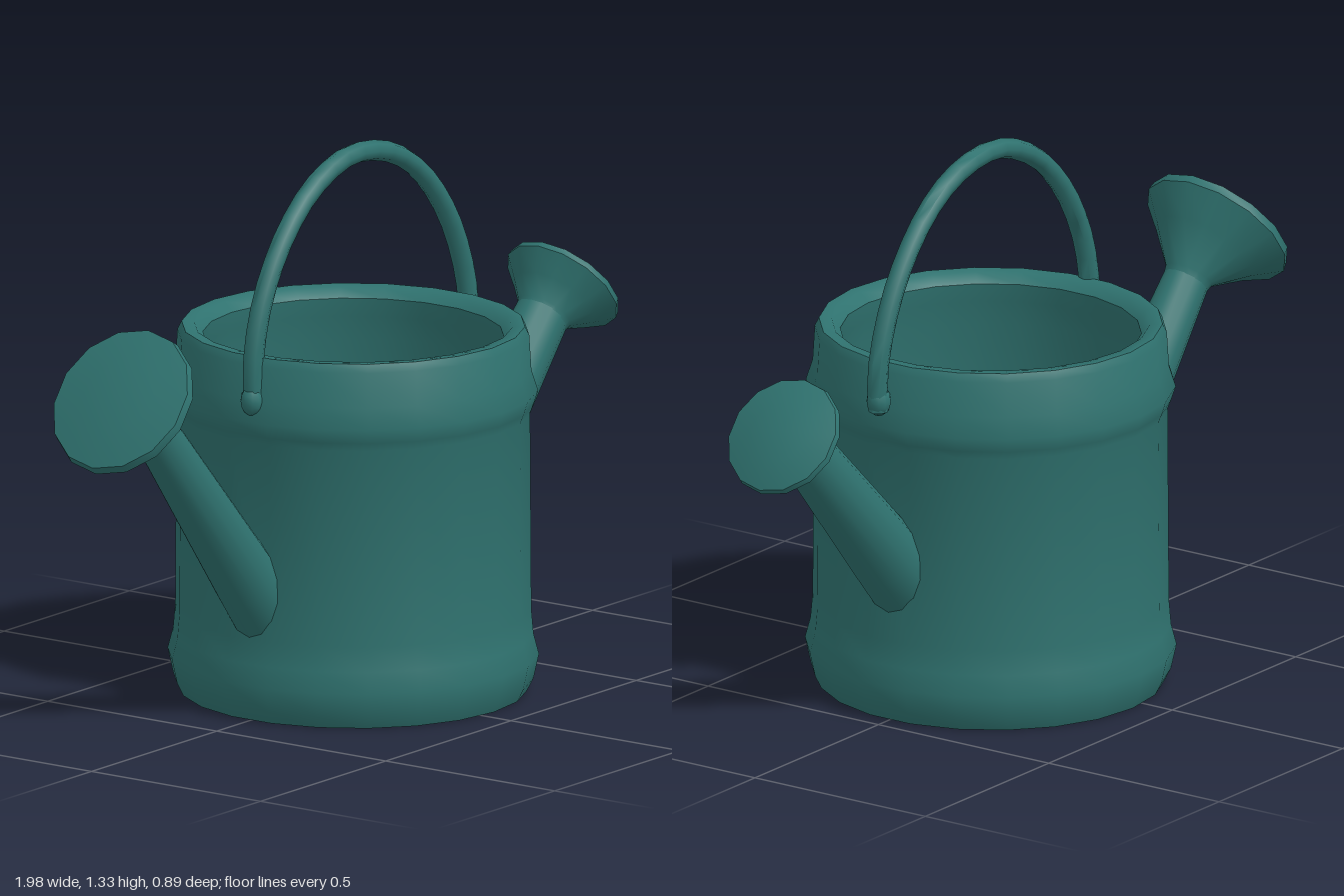
import * as THREE from 'three';
import { toCreasedNormals } from 'three/addons/utils/BufferGeometryUtils.js';

const teal = new THREE.MeshStandardMaterial({ color: 0x2f726f });
teal.name = 'teal';

// Closed skin through round rings; each ring is [x, y, axis angle in degrees, radius]
function loft(rings, sides = 14) {
  const pos = [], index = [];
  for (const [x, y, deg, r] of rings) {
    const a = THREE.MathUtils.degToRad(deg);
    for (let j = 0; j < sides; j++) {
      const t = (j / sides) * Math.PI * 2;
      pos.push(x - Math.sin(a) * r * Math.cos(t), y + Math.cos(a) * r * Math.cos(t), r * Math.sin(t));
    }
  }
  for (let i = 0; i < rings.length - 1; i++) {
    for (let j = 0; j < sides; j++) {
      const k = (j + 1) % sides;
      const a = i * sides + j, b = i * sides + k, c = a + sides, d = b + sides;
      if (rings[i][3] > 0) index.push(a, b, c);
      if (rings[i + 1][3] > 0) index.push(b, d, c);
    }
  }
  const geo = new THREE.BufferGeometry();
  geo.setAttribute('position', new THREE.Float32BufferAttribute(pos, 3));
  geo.setIndex(index);
  return geo;
}

export function createModel() {
  const group = new THREE.Group();
  const add = (name, geo, crease = 0.8) => {
    const mesh = new THREE.Mesh(toCreasedNormals(geo, crease), teal);
    mesh.name = name;
    group.add(mesh);
    return mesh;
  };

  // Hollow can: outer wall with two raised bands, rolled lip, inner wall and floor
  const profile = [
    [0, 0], [0.41, 0], [0.425, 0.03], [0.438, 0.09], [0.425, 0.14], [0.42, 0.2],
    [0.417, 0.68], [0.425, 0.7], [0.436, 0.735], [0.42, 0.785], [0.415, 0.87],
    [0.405, 0.89], [0.375, 0.888], [0.355, 0.865], [0.36, 0.82], [0.375, 0.76],
    [0.38, 0.1], [0.36, 0.035], [0, 0.03],
  ].map(([x, y]) => new THREE.Vector2(x, y));
  const body = add('canBody', new THREE.LatheGeometry(profile, 22));
  body.position.x = 0.045;
  body.scale.z = 1.015;

  // Long spout with the wide rose
  add('longSpout', loft([
    [-0.24, 0.18, 130, 0], [-0.24, 0.18, 130, 0.088], [-0.38, 0.345, 130, 0.08],
    [-0.75, 0.785, 130, 0.056],
  ]));
  add('wideRose', loft([
    [-0.74, 0.773, 130, 0.055], [-0.757, 0.79, 132, 0.06], [-0.82, 0.84, 140, 0.13],
    [-0.868, 0.874, 143, 0.188], [-0.884, 0.888, 143, 0.184], [-0.893, 0.9, 143, 0.1],
    [-0.895, 0.902, 143, 0],
  ]));

  // Short spout with the small rose
  add('shortSpout', loft([
    [0.36, 0.3, 47, 0], [0.36, 0.3, 47, 0.095], [0.47, 0.415, 47, 0.088],
    [0.8, 0.765, 47, 0.066],
  ]));
  add('smallRose', loft([
    [0.79, 0.754, 46, 0.065], [0.807, 0.767, 44, 0.069], [0.845, 0.79, 41, 0.108],
    [0.878, 0.818, 39, 0.149], [0.89, 0.828, 39, 0.146], [0.906, 0.841, 39, 0.08],
    [0.909, 0.843, 39, 0],
  ]));

  // Arched carrying handle, its feet resting on the upper band
  const arch = new THREE.CatmullRomCurve3([
    [-0.365, 0.77], [-0.367, 0.88], [-0.335, 1.01], [-0.26, 1.14], [-0.15, 1.245],
    [-0.02, 1.303], [0.08, 1.308], [0.2, 1.277], [0.31, 1.205], [0.41, 1.085],
    [0.468, 0.96], [0.49, 0.86], [0.485, 0.78],
  ].map(([x, y]) => new THREE.Vector3(x, y, 0.01)));
  add('handle', new THREE.TubeGeometry(arch, 26, 0.025, 8), 1.2);

  // Rounded handle feet
  for (const [x, y] of [[-0.37, 0.785], [0.485, 0.805]]) {
    const foot = add('handleFoot', new THREE.SphereGeometry(0.03, 10, 8), 1.2);
    foot.position.set(x, y, 0.01);
    foot.scale.y = 1.25;
  }

  return group;
}
